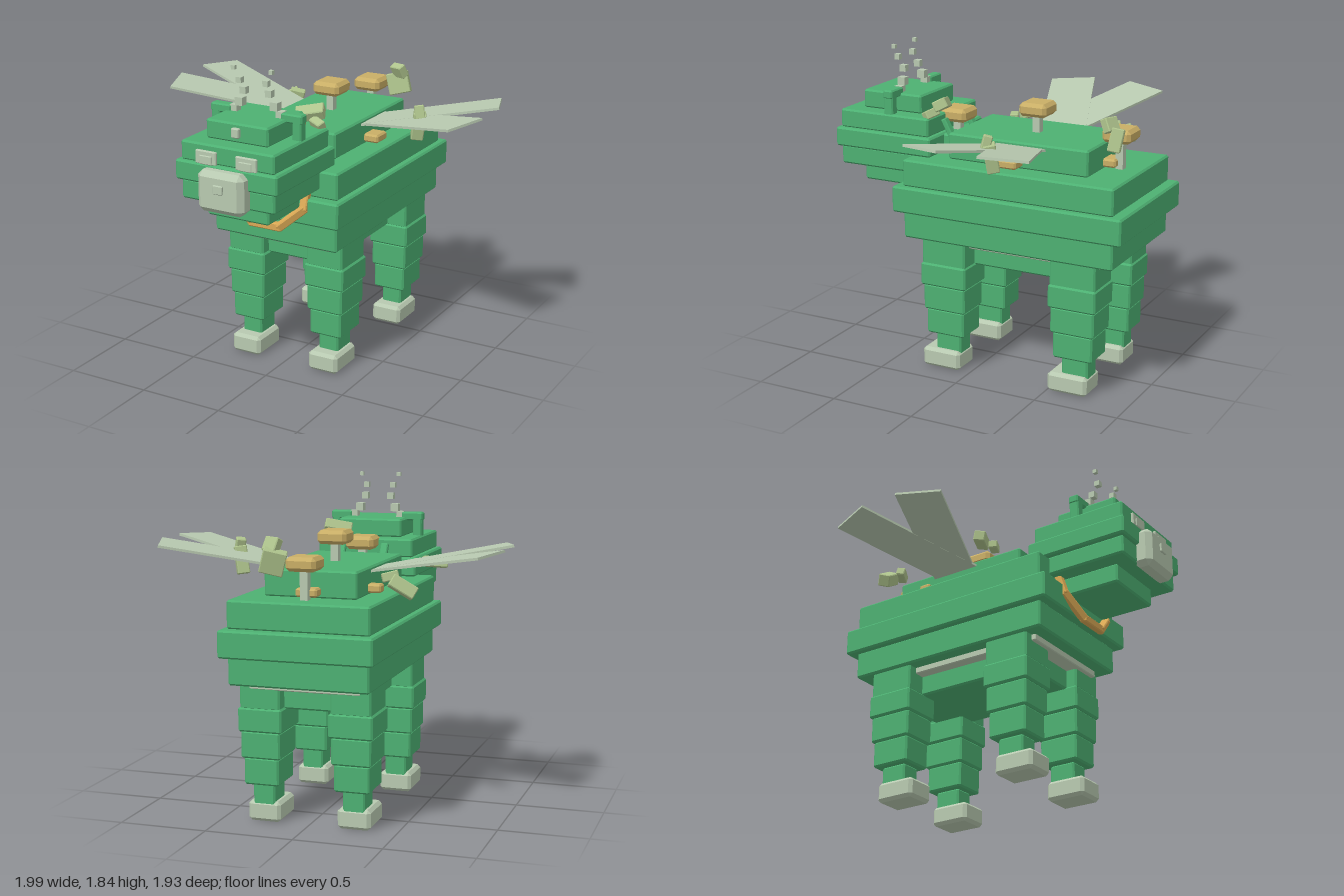
import * as THREE from 'three';
import { ConvexGeometry } from 'three/addons/geometries/ConvexGeometry.js';

const mat = (name, color) => {
  const m = new THREE.MeshStandardMaterial({ color });
  m.name = name;
  return m;
};

// Box with chamfered edges, centred on its own origin
function chamferBox(w, h, d, c) {
  const pts = [];
  for (const sx of [-1, 1]) for (const sy of [-1, 1]) for (const sz of [-1, 1]) {
    const x = w / 2, y = h / 2, z = d / 2;
    pts.push(new THREE.Vector3(sx * x, sy * (y - c), sz * (z - c)));
    pts.push(new THREE.Vector3(sx * (x - c), sy * y, sz * (z - c)));
    pts.push(new THREE.Vector3(sx * (x - c), sy * (y - c), sz * z));
  }
  return new ConvexGeometry(pts);
}

export function createModel() {
  const green = mat('jade green', 0x4db072);
  const pale = mat('pale sage', 0xb8c9b0);
  const gold = mat('gold', 0xc9ae66);
  const amber = mat('amber', 0xdba955);
  const leafMat = mat('leaf green', 0xaec38c);

  const model = new THREE.Group();
  model.name = 'blockCreature';
  const group = (name, parent = model) => {
    const g = new THREE.Group();
    g.name = name;
    parent.add(g);
    return g;
  };
  // Block by size and centre; c is the chamfer
  const block = (parent, name, material, size, pos, c = 0.01) => {
    const geo = c ? chamferBox(...size, c) : new THREE.BoxGeometry(...size);
    const m = new THREE.Mesh(geo, material);
    m.name = name;
    m.position.set(...pos);
    parent.add(m);
    return m;
  };
  // Block centred on x, given by half width, y range and z range
  const slab = (parent, name, material, hw, y0, y1, z0, z1, c) =>
    block(parent, name, material, [hw * 2, y1 - y0, z1 - z0], [0, (y0 + y1) / 2, (z0 + z1) / 2], c);

  // Body: stacked layers
  const body = group('body');
  slab(body, 'belly', green, 0.25, 0.64, 0.8, -0.72, 0.22);
  slab(body, 'bellyPlate', pale, 0.315, 0.755, 0.8, -0.8, 0.31, 0.005);
  slab(body, 'lowerLayer', green, 0.395, 0.79, 0.95, -0.905, 0.39);
  slab(body, 'middleLayer', green, 0.432, 0.945, 1.097, -0.965, 0.445);
  slab(body, 'upperLayer', green, 0.4, 1.095, 1.252, -0.905, 0.39);
  slab(body, 'backHump', green, 0.263, 1.25, 1.402, -0.695, 0.168);

  // Legs: tapering segments, then ankle and foot
  const segments = [
    [0.23, 0.275, 0.64, 0.8], [0.25, 0.288, 0.515, 0.65], [0.225, 0.265, 0.365, 0.518],
    [0.2, 0.24, 0.215, 0.368], [0.125, 0.16, 0.06, 0.217],
  ];
  for (const [end, z] of [['front', 0.147], ['back', -0.66]]) {
    for (const s of [-1, 1]) {
      const leg = group(`${end}${s > 0 ? 'Left' : 'Right'}Leg`);
      leg.position.set(s * 0.258, 0, z);
      segments.forEach(([w, d, y0, y1]) =>
        block(leg, 'legSegment', green, [w, y1 - y0, d], [0, (y0 + y1) / 2, 0]));
      block(leg, 'foot', pale, [0.188, 0.115, 0.242], [0, 0.0575, 0.036], 0.018);
    }
  }

  // Head: stacked layers
  const head = group('head');
  slab(head, 'neck', green, 0.15, 1.1, 1.36, 0.1, 0.4);
  slab(head, 'chin', green, 0.193, 1.037, 1.15, 0.385, 0.77);
  slab(head, 'jaw', green, 0.29, 1.146, 1.257, 0.285, 0.867);
  slab(head, 'cheeks', green, 0.317, 1.255, 1.366, 0.26, 0.888);
  slab(head, 'brow', green, 0.29, 1.363, 1.472, 0.285, 0.867);
  slab(head, 'crown', green, 0.193, 1.47, 1.578, 0.385, 0.768);
  slab(head, 'foreheadGem', pale, 0.024, 1.5, 1.555, 0.755, 0.79, 0.006);
  slab(head, 'snout', pale, 0.143, 1.123, 1.353, 0.84, 0.955, 0.03);
  slab(head, 'nose', pale, 0.03, 1.238, 1.288, 0.93, 0.965, 0.004);
  for (const s of [-1, 1]) {
    // Slanted neck braces
    const brace = block(head, 'neckBrace', green, [0.045, 0.24, 0.03], [s * 0.13, 1.34, 0.21], 0.006);
    brace.rotation.x = 0.5;
    // Eyes
    block(head, 'eye', pale, [0.13, 0.075, 0.02], [s * 0.125, 1.4, 0.872], 0.005);
    block(head, 'pupil', pale, [0.08, 0.05, 0.016], [s * 0.123, 1.388, 0.88], 0.004);
    // Hooked ears
    block(head, 'earPost', green, [0.055, 0.15, 0.06], [s * 0.255, 1.53, 0.55], 0.008);
    block(head, 'earTop', green, [0.13, 0.05, 0.06], [s * 0.222, 1.585, 0.55], 0.008);
    // Antennae: trails of shrinking cubes
    for (const [x, y, z, d] of [
      [0.145, 1.59, 0.55, 0.045], [0.11, 1.635, 0.55, 0.046], [0.08, 1.703, 0.56, 0.038],
      [0.083, 1.767, 0.597, 0.032], [0.117, 1.832, 0.602, 0.023],
    ]) block(head, 'antennaCube', pale, [d, d, d], [s * x, y, z], 0);
  }

  // Collar: straight bars following a tilted U
  const collar = group('collar');
  const path = [[0.222, 1.15, 0.41], [0.222, 1.04, 0.445], [0.09, 0.925, 0.487]];
  const bar = (a, b) => {
    const p = new THREE.Vector3(...a), q = new THREE.Vector3(...b);
    const m = block(collar, 'collarBar', amber, [0.046, p.distanceTo(q) + 0.025, 0.04],
      p.clone().add(q).multiplyScalar(0.5).toArray(), 0.006);
    m.quaternion.setFromUnitVectors(new THREE.Vector3(0, 1, 0), q.sub(p).normalize());
  };
  const mirror = ([x, y, z]) => [-x, y, z];
  for (let i = 0; i < 2; i++) {
    bar(path[i], path[i + 1]);
    bar(mirror(path[i]), mirror(path[i + 1]));
  }
  bar(path[2], mirror(path[2]));

  // Mushrooms along the spine: [z, stem base, cap bottom]
  const mushrooms = group('mushrooms');
  for (const [z, y0, y1] of [[0.245, 1.24, 1.415], [-0.265, 1.39, 1.5], [-0.775, 1.24, 1.41]]) {
    slab(mushrooms, 'mushroomStem', pale, 0.022, y0, y1 + 0.02, z - 0.022, z + 0.022, 0);
    slab(mushrooms, 'mushroomCap', gold, 0.085, y1, y1 + 0.078, z - 0.085, z + 0.085, 0.02);
  }
  // Low buds around the hump
  for (const [x, z, w, d] of [[0.3, -0.24, 0.1, 0.12], [-0.29, -0.465, 0.09, 0.075], [0, -0.725, 0.12, 0.085]])
    block(mushrooms, 'bud', gold, [w, 0.048, d], [x, 1.288, z], 0.01);

  // Wings: two splayed blades on each side
  for (const s of [-1, 1]) {
    const wing = group(s > 0 ? 'leftWing' : 'rightWing');
    wing.position.set(s * 0.29, 1.38, -0.29);
    wing.rotation.z = s * 0.18;
    for (const t of [-1, 1]) {
      const arm = group('wingArm', wing);
      arm.rotation.y = t * 0.348;
      block(arm, 'wingBlade', pale, [0.8, 0.014, 0.267], [s * 0.313, t * 0.0005, 0], 0);
    }
  }

  // Drifting leaves, each a large and a small block: position, size, rotation
  const leaves = group('leaves');
  for (const [pos, size, rot] of [
    [[-0.49, 1.32, -0.61], [0.15, 0.07, 0.07], [0.3, 0.4, 0.45]],
    [[-0.41, 1.37, -0.575], [0.09, 0.05, 0.05], [0.2, 0.4, -0.3]],
    [[-0.49, 1.375, 0.06], [0.14, 0.06, 0.065], [0.2, 0.45, 0]],
    [[-0.4, 1.365, 0.085], [0.08, 0.045, 0.05], [0, 0.4, 0]],
    [[0.565, 1.385, -0.265], [0.07, 0.16, 0.07], [0.2, 0.5, -0.2]],
    [[0.58, 1.47, -0.245], [0.055, 0.08, 0.05], [-0.3, 0.5, 0.25]],
    [[0.165, 1.455, -0.815], [0.13, 0.13, 0.07], [-0.2, 0.3, 0.3]],
    [[0.18, 1.54, -0.785], [0.09, 0.08, 0.05], [0.5, -0.3, 0.2]],
    [[0.16, 1.535, 0.265], [0.16, 0.06, 0.08], [0.5, 0.4, 0]],
    [[0.225, 1.49, 0.3], [0.09, 0.05, 0.05], [0.5, -0.45, 0]],
  ]) block(leaves, 'leaf', leafMat, size, pos, 0.005).rotation.set(...rot);

  return model;
}
